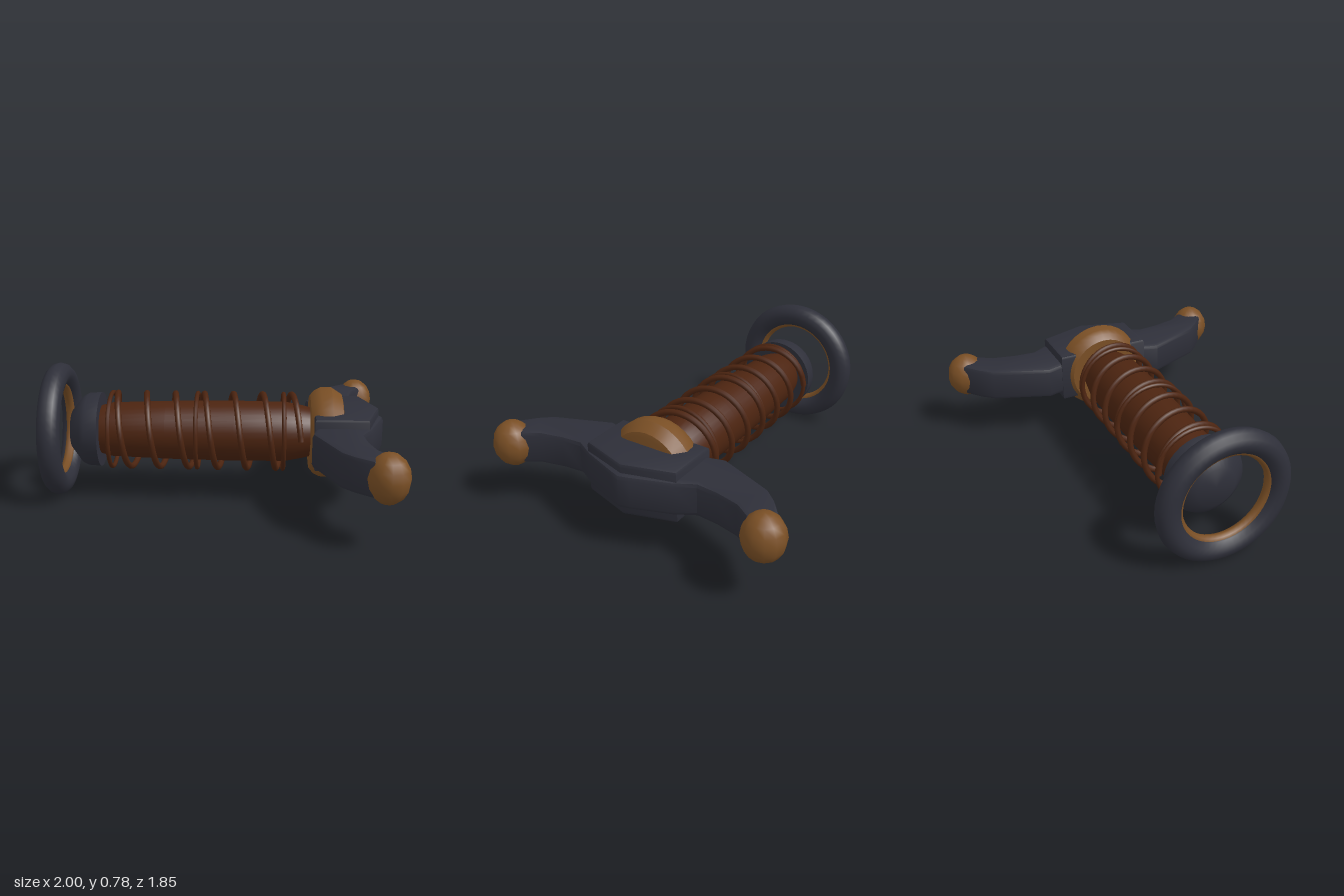
import * as THREE from 'three';
import { toCreasedNormals } from 'three/addons/utils/BufferGeometryUtils.js';

const AXIS_Y = 0.4;

export function createModel() {
  const group = new THREE.Group();
  const mat = (name, color) => {
    const m = new THREE.MeshStandardMaterial({ color });
    m.name = name;
    return m;
  };
  const iron = mat('dark iron', 0x2e2f39);
  const bronze = mat('bronze', 0x7a4f25);
  const leather = mat('brown leather', 0x4c2410);

  const add = (name, geometry, material, x = 0, y = AXIS_Y, z = 0) => {
    const mesh = new THREE.Mesh(geometry, material);
    mesh.name = name;
    mesh.position.set(x, y, z);
    group.add(mesh);
    return mesh;
  };

  // Solid of revolution along x from [x, radius] pairs
  const turned = (profile, sides, crease) => {
    const g = new THREE.LatheGeometry(profile.map(([x, r]) => new THREE.Vector2(r, x)), sides);
    g.rotateZ(-Math.PI / 2);
    return toCreasedNormals(g, crease);
  };
  const ring = (radius, tube, radial, around) =>
    new THREE.TorusGeometry(radius, tube, radial, around).rotateY(Math.PI / 2);

  // Horizontal plate from an [x, z] half outline mirrored across z = 0
  const plate = (half, height, bevel) => {
    const outline = [...half, ...half.filter(p => p[1] > 0).reverse().map(([x, z]) => [x, -z])];
    const shape = new THREE.Shape(outline.map(([x, z]) => new THREE.Vector2(x, z)));
    const g = new THREE.ExtrudeGeometry(shape, {
      depth: height - 2 * bevel, bevelThickness: bevel, bevelSize: bevel,
      bevelOffset: -bevel, bevelSegments: 2,
    });
    g.translate(0, 0, -height / 2 + bevel).rotateX(Math.PI / 2);
    return toCreasedNormals(g, 0.6);
  };

  // Pommel ring with its bronze lining
  add('pommelRing', ring(0.325, 0.067, 12, 48), iron, -0.935);
  add('pommelRingLining', ring(0.272, 0.03, 8, 48), bronze, -0.935);

  // Grip end cap and grip
  add('gripCap', turned([[-0.858, 0], [-0.858, 0.115], [-0.79, 0.2], [-0.76, 0.215],
    [-0.685, 0.22], [-0.685, 0]], 32, 0.7), iron);
  add('grip', turned([[-0.7, 0.14], [-0.62, 0.16], [-0.3, 0.172], [0.1, 0.178],
    [0.4, 0.175], [0.5, 0.155], [0.58, 0.135]], 32, 0.7), leather);

  // Coiled wrap around the grip
  const turns = 6.5, start = -0.628, pitch = 0.171, coil = [];
  for (let i = 0; i <= turns * 16; i++) {
    const t = i / 16, a = t * Math.PI * 2;
    coil.push(new THREE.Vector3(start + t * pitch, Math.sin(a) * 0.218, -Math.cos(a) * 0.218));
  }
  add('gripCoil', new THREE.TubeGeometry(new THREE.CatmullRomCurve3(coil), 260, 0.018, 8), leather);
  for (const x of [-0.62, -0.117, 0.387]) {
    add('gripBand', ring(0.221, 0.013, 8, 40), leather, x);
  }

  // Collar between grip and guard
  add('collar', turned([[0.54, 0], [0.54, 0.215], [0.565, 0.245], [0.6, 0.262], [0.66, 0.265],
    [0.722, 0.225], [0.728, 0.2], [0.728, 0]], 32, 0.6), bronze);

  // Cross guard: pointed centre block and one swept bar for both arms
  add('guardBlock', plate([[0.94, 0], [0.855, 0.285], [0.555, 0.285]], 0.305, 0.018), iron);
  add('guardArms', plate([[0.968, 0], [0.95, 0.06], [0.875, 0.27], [0.815, 0.38], [0.825, 0.5],
    [0.855, 0.635], [0.91, 0.72], [0.9, 0.8], [0.81, 0.845], [0.72, 0.77], [0.66, 0.7],
    [0.535, 0.375], [0.565, 0.26]], 0.2, 0.025), iron);

  // Faceted round tips
  for (const side of [1, -1]) {
    const tip = add('guardTip', new THREE.SphereGeometry(1, 12, 8), bronze, 0.888, AXIS_Y, side * 0.808);
    tip.scale.set(0.112, 0.135, 0.118);
  }
  return group;
}
